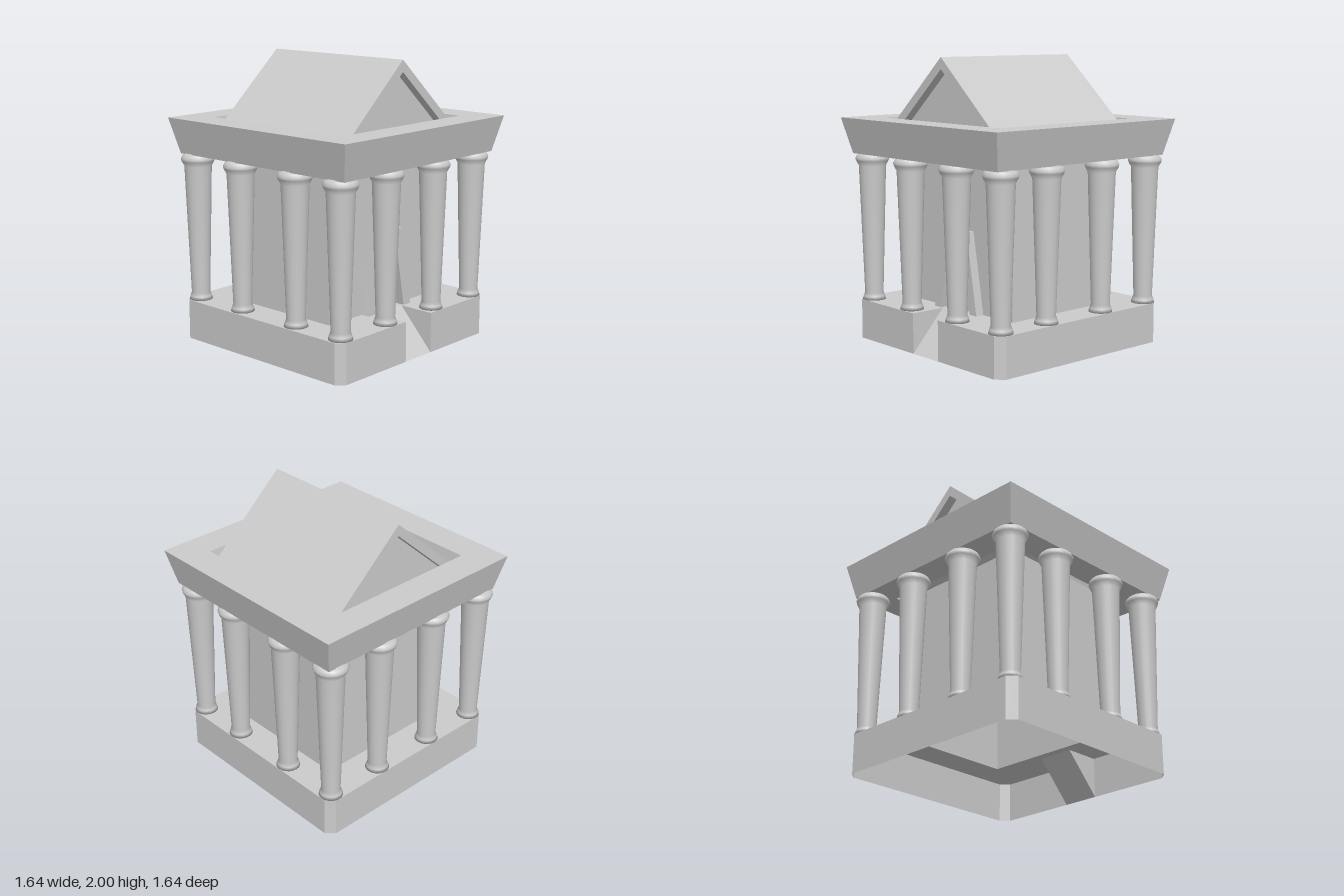
import * as THREE from 'three';

const flat = new THREE.MeshStandardMaterial({ color: 0xcccccc, flatShading: true, side: THREE.DoubleSide });
const smooth = new THREE.MeshStandardMaterial({ color: 0xcccccc });

function add(group, name, geometry, material = flat) {
  const mesh = new THREE.Mesh(geometry, material);
  mesh.name = name;
  group.add(mesh);
  return mesh;
}

const shapeOf = (pts) => new THREE.Shape(pts.map(([x, y]) => new THREE.Vector2(x, y)));

// Flat polygons, each a list of [x, y, z] corners
function polygons(list) {
  const pos = [];
  for (const p of list)
    for (let i = 1; i < p.length - 1; i++) pos.push(...p[0], ...p[i], ...p[i + 1]);
  const g = new THREE.BufferGeometry();
  g.setAttribute('position', new THREE.Float32BufferAttribute(pos, 3));
  g.computeVertexNormals();
  return g;
}

// Extrude a (z, y) outline along x, from x0 to x1
function extrudeAlongX(shape, x0, x1) {
  const g = new THREE.ExtrudeGeometry(shape, { depth: x1 - x0, bevelEnabled: false });
  // shape x -> -z, depth -> +x
  g.rotateY(Math.PI / 2);
  g.translate(x0, 0, 0);
  return g;
}

const H = 0.28; // platform height
const cella = { x0: -0.5, x1: 0.42, z0: -0.52, z1: 0.53, top: 1.315 };

// Hollow platform with cut corners and a ramp let into the +x side
function createPlatform() {
  const g = new THREE.Group();
  g.name = 'platform';
  const inner = 0.48, za = -0.14, zb = 0.125;
  const outline = [
    [0.74, za], [0.74, -0.7], [0.685, -0.755], [-0.705, -0.755], [-0.76, -0.7],
    [-0.76, 0.715], [-0.705, 0.77], [0.685, 0.77], [0.74, 0.715], [0.74, zb],
  ];
  const walls = [];
  for (let i = 0; i < outline.length - 1; i++) {
    const [ax, az] = outline[i], [bx, bz] = outline[i + 1];
    walls.push([[ax, 0, az], [bx, 0, bz], [bx, H, bz], [ax, H, az]]);
  }
  add(g, 'platformWalls', polygons(walls));

  const plan = shapeOf([...outline, [inner, zb], [inner, za]].map(([x, z]) => [x, -z]));
  const { x0, x1, z0, z1 } = cella;
  plan.holes.push(new THREE.Path([[x0, -z0], [x1, -z0], [x1, -z1], [x0, -z1]].map((p) => new THREE.Vector2(...p))));
  add(g, 'platformTop', new THREE.ShapeGeometry(plan).rotateX(-Math.PI / 2)).position.y = H;

  add(g, 'ramp', polygons([
    [[0.74, 0, zb], [0.74, 0, za], [inner, H, za], [inner, H, zb]],
    [[0.74, 0, za], [0.74, H, za], [inner, H, za]],
    [[0.74, 0, zb], [inner, H, zb], [0.74, H, zb]],
  ]));
  return g;
}

// Inner chamber, open below
function createChamber() {
  const { x0, x1, z0, z1, top } = cella;
  const rect = shapeOf([[x0, -z0], [x0, -z1], [x1, -z1], [x1, -z0]]);
  const corners = [[x1, z0], [x0, z0], [x0, z1], [x1, z1]];
  const g = new THREE.Group();
  g.name = 'chamber';
  add(g, 'chamberWalls', polygons(corners.map(([ax, az], i) => {
    const [bx, bz] = corners[(i + 1) % 4];
    return [[ax, H, az], [bx, H, bz], [bx, top, bz], [ax, top, az]];
  })));
  add(g, 'chamberCeiling', new THREE.ShapeGeometry(rect).rotateX(-Math.PI / 2)).position.y = top;
  return g;
}

// Tapered surround standing proud of the chamber wall
function createDoorFrame(group) {
  const c = 0.01; // offset of the centre towards -z
  const frame = shapeOf([
    [c - 0.22, H], [c - 0.15, H], [c - 0.06, 0.76], [c + 0.06, 0.76],
    [c + 0.15, H], [c + 0.22, H], [c + 0.122, 0.838], [c - 0.122, 0.838],
  ]);
  add(group, 'doorFrame', extrudeAlongX(frame, cella.x1, 0.482));
}

// Ring of twelve columns, four to a side
function createColumns() {
  const g = new THREE.Group();
  g.name = 'columns';
  const profile = [
    [0, 0.28], [0.082, 0.28], [0.075, 0.305], [0.065, 0.33], [0.095, 1.235],
    [0.114, 1.27], [0.118, 1.287], [0.108, 1.308], [0.088, 1.325], [0, 1.325],
  ].map(([r, y]) => new THREE.Vector2(r, y));
  const geo = new THREE.LatheGeometry(profile, 20);
  const xs = [-0.68, -0.25, 0.26, 0.657];
  const zs = [-0.672, -0.243, 0.242, 0.68];
  xs.forEach((x, i) => zs.forEach((z, j) => {
    if (i % 3 && j % 3) return;
    add(g, 'column', geo, smooth).position.set(x, 0, z);
  }));
  return g;
}

export function createModel() {
  const model = new THREE.Group();
  model.name = 'temple';
  model.add(createPlatform(), createChamber(), createColumns());
  createDoorFrame(model);

  // Square cornice frame, flaring upwards, open in the middle
  const section = [[0.56, 1.32], [0.762, 1.32], [0.82, 1.57], [0.6, 1.57], [0.56, 1.32]];
  const cornice = new THREE.LatheGeometry(section.map(([r, y]) => new THREE.Vector2(r * Math.SQRT2, y)), 4);
  add(model, 'cornice', cornice.rotateY(Math.PI / 4));

  // Gabled roof sunk into the cornice, with recessed gable panels
  const eave = 0.585, eaveY = 1.476, apex = 2, t = 0.08;
  const innerEave = eave - t / 0.896;
  const roof = shapeOf([[-eave, eaveY], [-innerEave, eaveY], [0, apex - t], [innerEave, eaveY], [eave, eaveY], [0, apex]]);
  add(model, 'roof', extrudeAlongX(roof, -0.585, 0.585));
  const gable = shapeOf([[-innerEave, eaveY], [innerEave, eaveY], [0, apex - t]]);
  for (const s of [-1, 1]) {
    const panel = new THREE.ShapeGeometry(gable).rotateY(s * Math.PI / 2);
    add(model, 'gablePanel', panel).position.x = s * 0.52;
  }
  return model;
}
